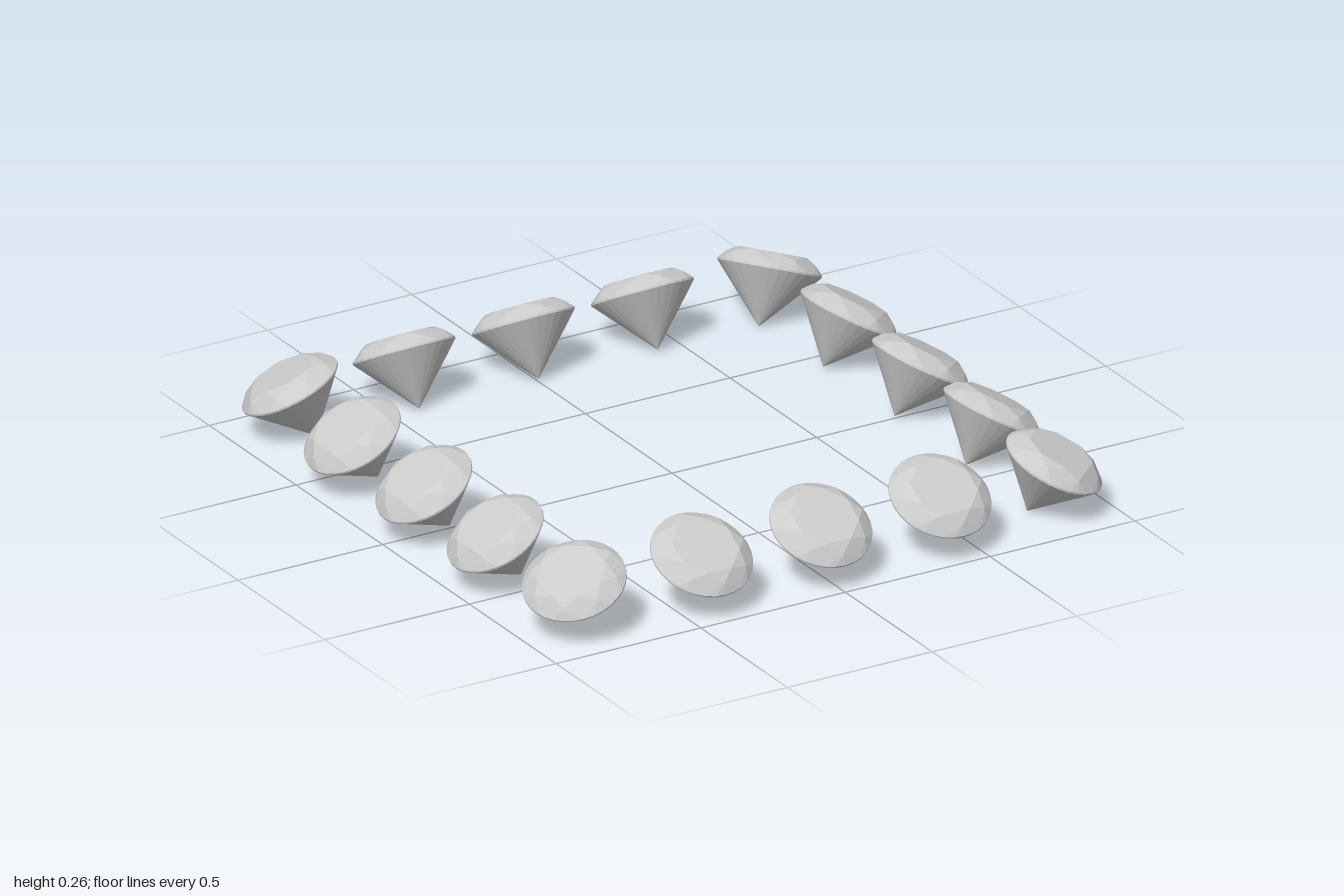
import * as THREE from 'three';
import { ConvexGeometry } from 'three/addons/geometries/ConvexGeometry.js';

// Brilliant-cut stone with its girdle centred on the origin, table facing +y
function gemGeometry() {
  const points = [];
  const ring = (count, radius, y, phase = 0) => {
    for (let i = 0; i < count; i++) {
      const a = phase + (i / count) * Math.PI * 2;
      points.push(new THREE.Vector3(radius * Math.cos(a), y, radius * Math.sin(a)));
    }
  };
  ring(8, 0.105, 0.047, Math.PI / 8); // table
  ring(8, 0.135, 0.03); // star facet tips
  ring(32, 0.158, 0.003); // upper girdle
  ring(32, 0.158, -0.003); // lower girdle
  points.push(new THREE.Vector3(0, -0.178, 0)); // culet
  return new ConvexGeometry(points);
}

export function createModel() {
  const model = new THREE.Group();
  model.name = 'gemFrame';
  const geometry = gemGeometry();
  const material = new THREE.MeshStandardMaterial({ color: 0xcccccc, flatShading: true });
  const up = new THREE.Vector3(0, 1, 0);

  // Place one stone, leaning along the given normal
  const addGem = (name, x, y, z, nx, ny, nz) => {
    const gem = new THREE.Mesh(geometry, material);
    gem.name = name;
    gem.position.set(x, y, z);
    gem.quaternion.setFromUnitVectors(up, new THREE.Vector3(nx, ny, nz).normalize());
    model.add(gem);
  };

  for (const s of [1, -1]) {
    // Three stones along each side, leaning outward
    for (const t of [-0.412, 0, 0.412]) {
      addGem(s > 0 ? 'frontGem' : 'backGem', t, 0.164, s * 0.858, 0, 0.866, s * 0.5);
      addGem(s > 0 ? 'leftGem' : 'rightGem', s * 0.858, 0.164, t, s * 0.5, 0.866, 0);
    }
    // Corner stones, leaning diagonally outward
    for (const t of [1, -1]) {
      addGem('cornerGem', s * 0.829, 0.161, t * 0.82, s * 0.366, 0.893, t * 0.26);
    }
  }
  return model;
}
